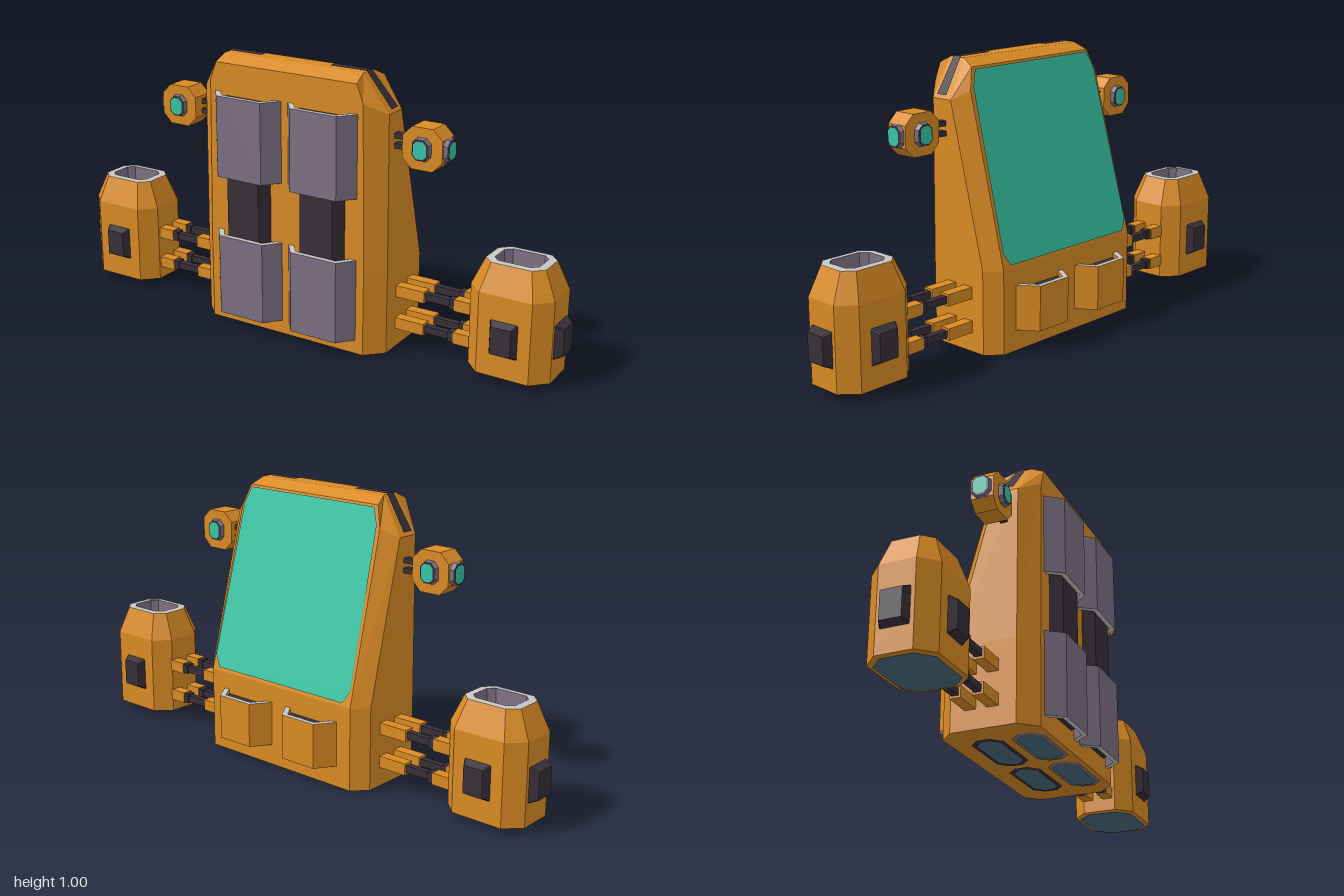
import * as THREE from 'three';

const mat = (name, color) => {
  const m = new THREE.MeshStandardMaterial({ color, side: THREE.DoubleSide });
  m.name = name;
  return m;
};

export function createModel() {
  const orange = mat('orange', 0xda8b24);
  const mauve = mat('mauve', 0x7d7083);
  const dark = mat('dark', 0x382f38);
  const pale = mat('pale grey', 0xc6c6c4);
  const teal = mat('teal', 0x36c6a6);
  const blue = mat('slate blue', 0x4a6b7c);

  const model = new THREE.Group();
  model.name = 'jetPack';

  const add = (parent, name, geo, material, x = 0, y = 0, z = 0) => {
    const m = new THREE.Mesh(geo, material);
    m.name = name;
    m.position.set(x, y, z);
    parent.add(m);
    return m;
  };
  const group = (parent, name, x = 0, y = 0, z = 0) => {
    const g = new THREE.Group();
    g.name = name;
    g.position.set(x, y, z);
    parent.add(g);
    return g;
  };

  const flat = (pos) => {
    const g = new THREE.BufferGeometry();
    g.setAttribute('position', new THREE.Float32BufferAttribute(pos, 3));
    g.computeVertexNormals();
    return g;
  };

  // Skin over symmetric rings, counter-clockwise seen from above
  const loft = (rings, bottom = true, top = true) => {
    const pos = [];
    const quad = (a, b, c, d) => pos.push(...a, ...b, ...c, ...a, ...c, ...d);
    const n = rings[0].length;
    for (let r = 0; r < rings.length - 1; r++) {
      for (let i = 0; i < n; i++) {
        const j = (i + 1) % n;
        quad(rings[r][i], rings[r][j], rings[r + 1][j], rings[r + 1][i]);
      }
    }
    const first = rings[0], last = rings[rings.length - 1];
    for (let i = 0; i < n / 2 - 1; i++) {
      const j = n - 1 - i;
      if (bottom) quad(first[j], first[j - 1], first[i + 1], first[i]);
      if (top) quad(last[i], last[i + 1], last[j - 1], last[j]);
    }
    return flat(pos);
  };

  // Ring from its +x half, listed front to back
  const mirrorRing = (half) => [...half, ...half.slice().reverse().map(([x, y, z]) => [-x, y, z])];
  const oct = (y, hx, hz, c) => mirrorRing([[hx - c, y, hz], [hx, y, hz - c], [hx, y, -hz + c], [hx - c, y, -hz]]);
  const plate = (pts) => {
    const pos = [];
    for (let i = 1; i < pts.length - 1; i++) pos.push(...pts[0], ...pts[i], ...pts[i + 1]);
    return flat(pos);
  };

  // Main hull
  const backZ = (y) => -0.165 + 0.2687 * (y - 0.305);
  const base = (y) => mirrorRing([[0.32, y, 0.18], [0.38, y, 0.12], [0.38, y, -0.115], [0.33, y, -0.165]]);
  add(model, 'hull', loft([
    base(0.004),
    base(0.305),
    mirrorRing([[0.31, 0.91, 0.18], [0.375, 0.87, 0.12], [0.375, 0.87, 0.035], [0.32, 0.9, backZ(0.9)]]),
    mirrorRing([[0.285, 0.975, 0.18], [0.28, 1, 0.13], [0.28, 1, 0.065], [0.295, 0.975, backZ(0.975)]]),
  ]), orange);

  // Sloping back panel
  const half = [[0.295, 0.318], [0.322, 0.36], [0.308, 0.91], [0.285, 0.968]];
  const outline = [...half, ...half.slice().reverse().map(([x, y]) => [-x, y])];
  add(model, 'backPanel', plate(outline.map(([x, y]) => [x, y, backZ(y) - 0.005])), teal);

  // Open trapezoid channel (U in plan), standing on the hull and facing dir
  const channel = (hwBase, hwTip, depth, height, dir) => {
    const t = 0.018;
    const s = new THREE.Shape([
      [-hwBase, -0.005], [-hwTip, depth], [hwTip, depth], [hwBase, -0.005],
      [hwBase - t * 1.3, -0.005], [hwTip - t * 0.6, depth - t], [-hwTip + t * 0.6, depth - t], [-hwBase + t * 1.3, -0.005],
    ].map(([x, y]) => new THREE.Vector2(x, y * dir)));
    return new THREE.ExtrudeGeometry(s, { depth: height, bevelEnabled: false }).rotateX(Math.PI / 2);
  };
  const core = (hwBase, hwTip, depth, height, dir) => {
    const s = new THREE.Shape([[-hwBase, 0], [-hwTip, depth], [hwTip, depth], [hwBase, 0]]
      .map(([x, y]) => new THREE.Vector2(x, y * dir)));
    return new THREE.ExtrudeGeometry(s, { depth: height, bevelEnabled: false }).rotateX(Math.PI / 2);
  };

  // Tapered block along +y, later turned outward
  const frustum = (hx, hz, c, h, inset) => loft([oct(0, hx, hz, c), oct(h, hx - inset, hz - inset, c)]);

  for (const s of [1, -1]) {
    const side = s > 0 ? 'left' : 'right';

    // Front covers with the dark column running through them
    const px = s * 0.152;
    add(model, side + 'UpperCover', channel(0.142, 0.092, 0.06, 0.295, 1), [pale, mauve], px, 0.872, 0.18);
    add(model, side + 'LowerCover', channel(0.142, 0.092, 0.06, 0.3, 1), [pale, mauve], px, 0.355, 0.18);
    add(model, side + 'Column', core(0.092, 0.066, 0.04, 0.78, 1), dark, px, 0.86, 0.18);

    // Rear scoops
    add(model, side + 'RearScoop', channel(0.122, 0.072, 0.07, 0.163, -1), [pale, orange], px, 0.242, -0.165);
    add(model, side + 'ScoopCore', core(0.098, 0.06, 0.052, 0.13, -1), dark, px, 0.225, -0.165);

    // Exhausts under the hull
    [[0.105, mauve], [-0.04, dark]].forEach(([z, rim]) => {
      add(model, side + 'ExhaustRim', plate(oct(0.002, 0.137, 0.058, 0.035)), rim, px, 0, z);
      add(model, side + 'Exhaust', plate(oct(0, 0.122, 0.045, 0.03)), blue, px, 0, z);
    });

    // Vent slots wrapping the top shoulder
    const k = 0.004;
    add(model, side + 'TopSlot', plate([
      [s * 0.14, 1 + k, 0.112], [s * 0.283, 1 + k, 0.112], [s * 0.283, 1 + k, 0.078], [s * 0.14, 1 + k, 0.078],
    ]), dark);
    add(model, side + 'ShoulderSlot', plate([
      [s * 0.283, 1 + k, 0.112], [s * 0.373, 0.88 + k, 0.102], [s * 0.373, 0.88 + k, 0.058], [s * 0.283, 1 + k, 0.078],
    ]), dark);

    // Telescopic arms
    for (const y of [0.217, 0.095]) {
      for (const z of [-0.043, 0.037]) {
        const arm = group(model, side + 'Arm', 0, y, z);
        add(arm, 'armRoot', new THREE.BoxGeometry(0.12, 0.042, 0.04), orange, s * 0.43);
        add(arm, 'armRod', new THREE.BoxGeometry(0.16, 0.026, 0.024), dark, s * 0.54);
        add(arm, 'armCollar', new THREE.BoxGeometry(0.025, 0.036, 0.034), dark, s * 0.597);
        add(arm, 'armTip', new THREE.BoxGeometry(0.09, 0.042, 0.04), orange, s * 0.65);
      }
    }

    // Thruster pod with hollow intake
    const pod = group(model, side + 'Pod', s * 0.82, 0, 0.003);
    add(pod, 'podShell', loft([
      oct(0.027, 0.15, 0.118, 0.055), oct(0.32, 0.15, 0.118, 0.055), oct(0.418, 0.107, 0.083, 0.035),
    ], true, false), orange);
    add(pod, 'intakeRim', loft([oct(0.418, 0.107, 0.083, 0.035), oct(0.42, 0.08, 0.06, 0.022)], false, false), pale);
    add(pod, 'intakeWall', loft([oct(0.42, 0.08, 0.06, 0.022), oct(0.35, 0.075, 0.056, 0.02)], false, false), mauve);
    add(pod, 'intakeFloor', plate(oct(0.352, 0.077, 0.058, 0.02)), dark);
    add(pod, 'podExhaust', plate(oct(0.023, 0.135, 0.104, 0.05)), blue);
    const block = () => frustum(0.05, 0.062, 0.003, 0.027, 0.013);
    add(pod, 'frontBlock', block().rotateX(Math.PI / 2), dark, 0, 0.17, 0.118);
    add(pod, 'backBlock', block().rotateX(-Math.PI / 2), dark, 0, 0.17, -0.118);
    add(pod, 'outerBlock', frustum(0.062, 0.05, 0.003, 0.03, 0.013).rotateZ(-s * Math.PI / 2), dark, s * 0.149, 0.17, 0);

    // Side lamp with three lenses
    const lamp = group(model, side + 'Lamp', s * 0.5, 0.772, 0.08);
    add(lamp, 'lampBody', loft([oct(-0.041, 0.074, 0.073, 0.035), oct(0.041, 0.074, 0.073, 0.035)]).rotateX(Math.PI / 2), orange);
    for (const dy of [0.017, -0.018]) {
      add(lamp, 'lampRod', new THREE.BoxGeometry(0.08, 0.018, 0.026), dark, -s * 0.1, dy, -0.01);
    }
    const lens = (name, x, z, turn) => {
      const g = group(lamp, name, x, 0, z);
      const w = 0.034, h = 0.04;
      const sideways = x !== 0;
      const [hx, hz] = sideways ? [h, w] : [w, h];
      add(g, 'lensFrame', turn(frustum(hx, hz, 0.018, 0.015, 0.004)), mauve);
      add(g, 'lensRing', turn(plate(oct(0.0165, hx - 0.005, hz - 0.005, 0.015))), dark);
      add(g, 'lensGlass', turn(plate(oct(0.019, hx - 0.01, hz - 0.01, 0.012))), teal);
    };
    lens('frontLens', 0, 0.041, (g) => g.rotateX(Math.PI / 2));
    lens('backLens', 0, -0.041, (g) => g.rotateX(-Math.PI / 2));
    lens('outerLens', s * 0.073, 0, (g) => g.rotateZ(-s * Math.PI / 2));
  }

  return model;
}
